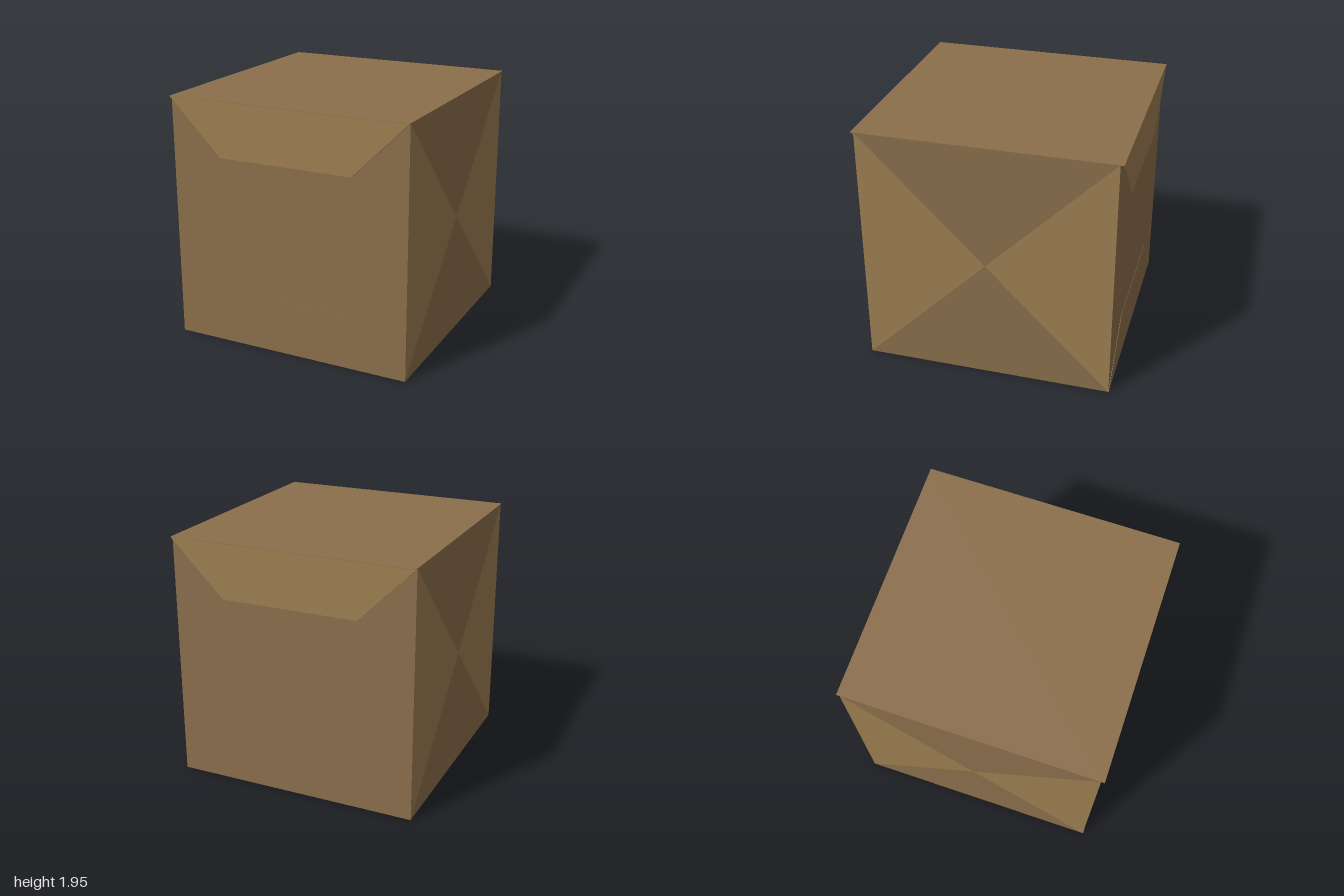
import * as THREE from 'three';

const H = 0.973;          // half size of the wrapped cube
const SKIN = 0.003;       // paper thickness
const FLAP = 0.43;        // flap height

const dark = new THREE.MeshStandardMaterial({ color: 0x8b6f4b, flatShading: true, side: THREE.DoubleSide });
const light = new THREE.MeshStandardMaterial({ color: 0x9d7f52, flatShading: true, side: THREE.DoubleSide });

function add(parent, name, geometry, material, y = 0, z = 0) {
  const mesh = new THREE.Mesh(geometry, material);
  mesh.name = name;
  mesh.position.set(0, y, z);
  parent.add(mesh);
  return mesh;
}

// Trapezoid flap hanging from y = 0, facing +z
function flapGeometry(depth) {
  const shape = new THREE.Shape([
    new THREE.Vector2(-H, 0),
    new THREE.Vector2(-H + FLAP, -FLAP),
    new THREE.Vector2(H - FLAP, -FLAP),
    new THREE.Vector2(H, 0),
  ]);
  return new THREE.ExtrudeGeometry(shape, { depth, bevelEnabled: false });
}

// Square end made of four triangles meeting in the middle, facing +z
function foldedEnd(name, materials) {
  const end = new THREE.Group();
  end.name = name;
  const triangle = new THREE.ShapeGeometry(new THREE.Shape([
    new THREE.Vector2(0, 0), new THREE.Vector2(-H, -H), new THREE.Vector2(H, -H),
  ]));
  for (let i = 0; i < 4; i++) {
    add(end, 'foldedTriangle', triangle, materials[i % 2], 0, H).rotation.z = i * Math.PI / 2;
  }
  end.position.y = H;
  return end;
}

export function createModel() {
  const model = new THREE.Group();
  model.name = 'foldedBox';

  // Inner box, kept just inside the folded ends and bottom
  const inner = 2 * (H - SKIN);
  add(model, 'boxBody', new THREE.BoxGeometry(inner, inner, 2 * H), dark, H);

  // Top sheet reaches out over the upper flaps
  add(model, 'topSheet', new THREE.BoxGeometry(2 * H, SKIN, 2), dark, 2 * H - SKIN / 2);

  // Front and back sheets with upper and lower flaps
  for (const [side, angle] of [['front', 0], ['back', Math.PI]]) {
    const face = new THREE.Group();
    face.name = side + 'Face';
    face.rotation.y = angle;
    add(face, side + 'Sheet', new THREE.PlaneGeometry(2 * H, 2 * H), dark, H, H + 0.0005);
    add(face, side + 'UpperFlap', flapGeometry(1 - H), light, 2 * H - SKIN, H);
    add(face, side + 'LowerFlap', flapGeometry(SKIN), dark, 0, H).rotation.z = Math.PI;
    model.add(face);
  }

  // Left and right folded ends: light side triangles, dark top and bottom ones
  for (const [name, sign] of [['leftEnd', 1], ['rightEnd', -1]]) {
    const end = foldedEnd(name, [dark, light]);
    end.rotation.y = sign * Math.PI / 2;
    model.add(end);
  }

  // Creased bottom
  const bottom = foldedEnd('bottom', [dark, dark]);
  bottom.rotation.x = Math.PI / 2;
  model.add(bottom);

  return model;
}
